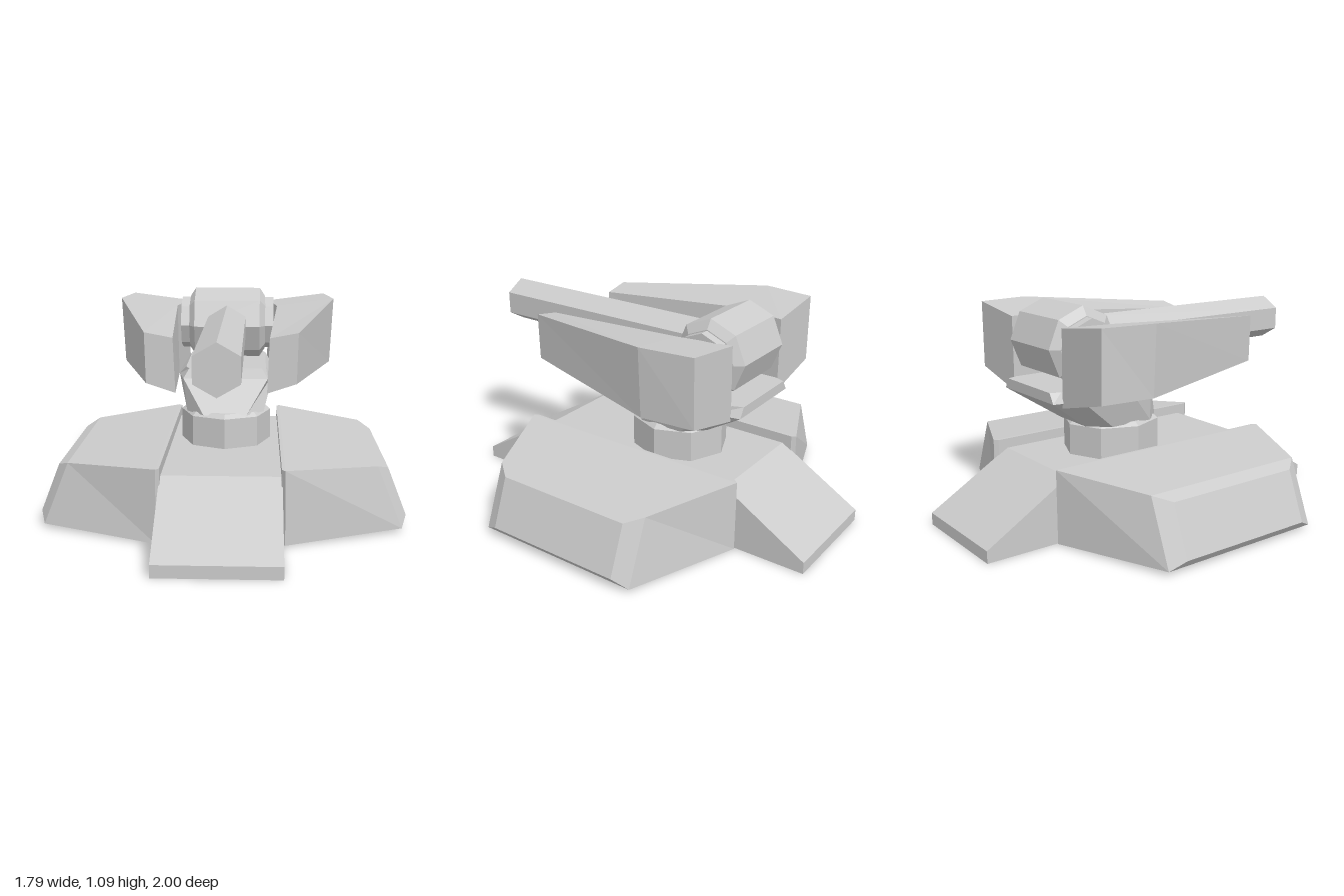
import * as THREE from 'three';

const material = new THREE.MeshStandardMaterial({ color: 0xcccccc, flatShading: true });

function addMesh(parent, name, geometry) {
  const mesh = new THREE.Mesh(geometry, material);
  mesh.name = name;
  parent.add(mesh);
  return mesh;
}

// Skin a list of matching rings, each counter-clockwise about the travel direction.
function loft(rings) {
  const out = [];
  const tri = (...pts) => pts.forEach((p) => out.push(...p));
  const n = rings[0].length;
  for (let r = 0; r + 1 < rings.length; r++) {
    const a = rings[r], b = rings[r + 1];
    for (let i = 0; i < n; i++) {
      const j = (i + 1) % n;
      tri(a[i], a[j], b[j]);
      tri(a[i], b[j], b[i]);
    }
  }
  const first = rings[0], last = rings[rings.length - 1];
  for (let i = 1; i + 1 < n; i++) {
    tri(first[0], first[i + 1], first[i]);
    tri(last[0], last[i], last[i + 1]);
  }
  const geometry = new THREE.BufferGeometry();
  geometry.setAttribute('position', new THREE.Float32BufferAttribute(out, 3));
  geometry.computeVertexNormals();
  return geometry;
}

const mirrorRings = (rings) =>
  rings.map((ring) => ring.map(([x, y, z]) => [-x, y, z]).reverse());

function addPair(parent, name, rings) {
  addMesh(parent, name + 'Left', loft(rings));
  addMesh(parent, name + 'Right', loft(mirrorRings(rings)));
}

// Faceted solid turned around an axis; profile is [radius, height] pairs.
function turned(profile, sides) {
  return new THREE.LatheGeometry(profile.map(([r, h]) => new THREE.Vector2(r, h)), sides);
}

// Rectangle with cut corners, lying at height y.
function cutRect(y, hx, zBack, zFront, cx, cz) {
  return [
    [-hx + cx, y, zFront], [hx - cx, y, zFront],
    [hx, y, zFront - cz], [hx, y, zBack + cz],
    [hx - cx, y, zBack], [-hx + cx, y, zBack],
    [-hx, y, zBack + cz], [-hx, y, zFront - cz],
  ];
}

export function createModel() {
  const model = new THREE.Group();
  model.name = 'turret';

  // Central base with a ramp at the front and the back
  const side = new THREE.Shape(
    [[-1, 0], [1, 0], [1, 0.06], [0.57, 0.315], [-0.57, 0.315], [-1, 0.06]]
      .map(([z, y]) => new THREE.Vector2(z, y)));
  const ramp = new THREE.ExtrudeGeometry(side, { depth: 0.57, bevelEnabled: false });
  ramp.translate(0, 0, -0.285).rotateY(-Math.PI / 2);
  addMesh(model, 'rampBase', ramp);

  // Side pods: [bottom x, bottom y, top x, top y, half length]
  const podRings = [
    [0.28, 0.005, 0.28, 0.365, 0.62],
    [0.30, 0.005, 0.295, 0.365, 0.64],
    [0.865, 0.02, 0.74, 0.33, 0.44],
    [0.895, 0.06, 0.80, 0.30, 0.36],
  ].map(([xb, yb, xt, yt, z]) => [[xb, yb, -z], [xt, yt, -z], [xt, yt, z], [xb, yb, z]]);
  addPair(model, 'sidePod', podRings);

  // Eight-sided pedestal
  const pedestal = addMesh(model, 'pedestal',
    turned([[0, 0.28], [0.25, 0.28], [0.25, 0.47], [0.225, 0.49], [0, 0.49]], 8));
  pedestal.scale.x = 0.94;
  pedestal.position.z = -0.12;

  // Neck leaning back and widening into the cradle floor
  addMesh(model, 'neck', loft([
    cutRect(0.48, 0.2, -0.35, 0.08, 0.09, 0.1),
    cutRect(0.65, 0.25, -0.6, -0.03, 0.03, 0.14),
    cutRect(0.70, 0.21, -0.6, -0.05, 0.02, 0.05),
  ]));

  // Cradle arms: z, then inner bottom, outer bottom, outer top, inner top
  const armRings = [
    [-0.55, [0.22, 0.625], [0.53, 0.70], [0.535, 1.04], [0.225, 1.0]],
    [-0.28, [0.262, 0.628], [0.555, 0.70], [0.57, 1.04], [0.268, 1.0]],
    [0.515, [0.21, 0.695], [0.345, 0.74], [0.35, 0.975], [0.22, 0.95]],
  ].map(([z, ...pts]) => pts.map(([x, y]) => [x, y, z]));
  addPair(model, 'cradleArm', armRings);

  // Gun pivot: bevelled drum on an axle
  const gun = new THREE.Group();
  gun.name = 'gun';
  gun.position.set(0, 0.895, -0.4);
  model.add(gun);
  const drum = turned(
    [[0, -0.205], [0.145, -0.205], [0.19, -0.175], [0.19, 0.175], [0.145, 0.205], [0, 0.205]], 8);
  addMesh(gun, 'drum', drum.rotateZ(Math.PI / 2));
  const axle = new THREE.CylinderGeometry(0.14, 0.14, 0.5, 8);
  addMesh(gun, 'axle', axle.rotateZ(Math.PI / 2));

  // Six-sided barrel
  const barrel = new THREE.CylinderGeometry(0.115, 0.115, 1.27, 6);
  addMesh(gun, 'barrel', barrel.rotateX(Math.PI / 2)).position.set(0, -0.005, 0.73);

  return model;
}
